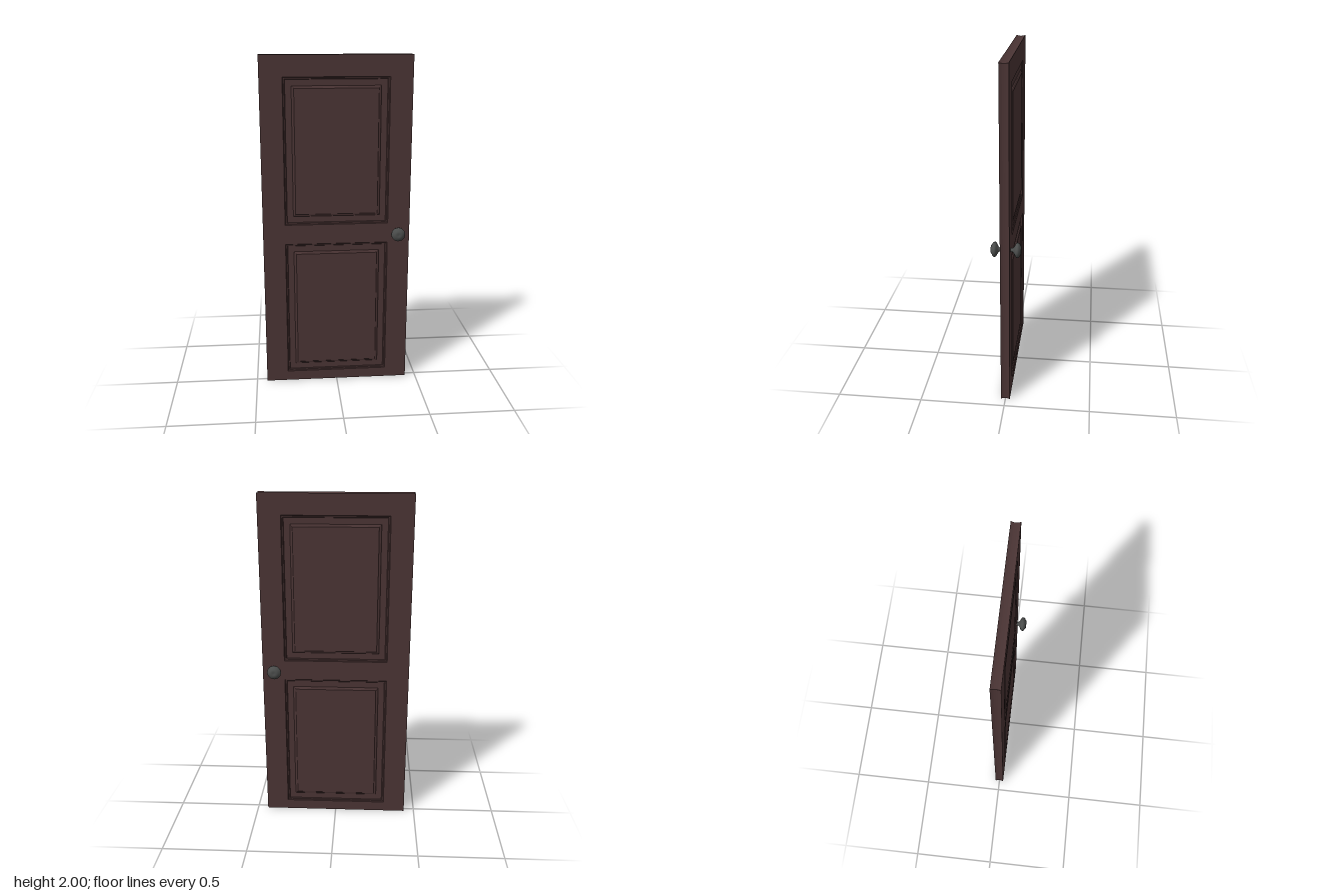
import * as THREE from 'three';

const HALF_W = 0.437, HEIGHT = 2, HALF_T = 0.026;
const wood = new THREE.MeshStandardMaterial({ color: 0x4a3434, flatShading: true });
const metal = new THREE.MeshStandardMaterial({ color: 0x4c4e4d });

// Recessed openings, symmetric in x: half width, bottom, top
const OPENINGS = [
  { w: 0.306, y0: 1.017, y1: 1.878 },
  { w: 0.306, y0: 0.061, y1: 0.898 },
];

// Corners of a rectangle, counter-clockwise seen from +z, shrunk by inset
function corners({ w, y0, y1 }, inset, z) {
  return [
    [-w + inset, y0 + inset, z], [w - inset, y0 + inset, z],
    [w - inset, y1 - inset, z], [-w + inset, y1 - inset, z],
  ];
}

// Joins rectangular loops given as [inset, z]; optionally caps the last one
function loft(rect, steps, cap) {
  const rings = steps.map(([inset, z]) => corners(rect, inset, z));
  const pos = [];
  const quad = (a, b, c, d) => pos.push(...a, ...b, ...c, ...a, ...c, ...d);
  for (let i = 0; i + 1 < rings.length; i++) {
    for (let k = 0; k < 4; k++) {
      const n = (k + 1) % 4;
      quad(rings[i][k], rings[i][n], rings[i + 1][n], rings[i + 1][k]);
    }
  }
  if (cap) quad(...rings[rings.length - 1]);
  const geo = new THREE.BufferGeometry();
  geo.setAttribute('position', new THREE.Float32BufferAttribute(pos, 3));
  geo.computeVertexNormals();
  return geo;
}

function add(parent, name, geometry, material) {
  const mesh = new THREE.Mesh(geometry, material);
  mesh.name = name;
  parent.add(mesh);
  return mesh;
}

// Half of the door slab, facing +z
function doorSide(name) {
  const side = new THREE.Group();
  side.name = name;
  const slab = { w: HALF_W, y0: 0, y1: HEIGHT };
  const points = (rect) => corners(rect, 0, 0).map(([x, y]) => new THREE.Vector2(x, y));

  // Stiles and rails around the two openings
  const frame = new THREE.Shape(points(slab));
  for (const o of OPENINGS) frame.holes.push(new THREE.Path(points(o).reverse()));
  add(side, 'stilesAndRails', new THREE.ShapeGeometry(frame).translate(0, 0, HALF_T), wood);

  // Slightly hollowed outer edge
  add(side, 'doorEdge', loft(slab, [[0.005, 0], [0.0045, 0.01], [0.0025, 0.019], [0, HALF_T]], false), wood);

  // Moulded recess with a raised field
  const profile = [
    [0, HALF_T], [0.004, HALF_T - 0.005], [0.011, HALF_T - 0.006], [0.014, HALF_T - 0.01],
    [0.05, HALF_T - 0.01], [0.054, HALF_T - 0.006], [0.061, HALF_T - 0.004], [0.064, HALF_T - 0.001],
  ];
  OPENINGS.forEach((o, i) => add(side, i ? 'lowerPanel' : 'upperPanel', loft(o, profile, true), wood));
  return side;
}

// Turned knob, from stem to face: radius, distance from the door's middle
function knob(name) {
  const profile = [
    [0.014, 0.02], [0.011, 0.03], [0.012, 0.038], [0.02, 0.045], [0.036, 0.053], [0.042, 0.059],
    [0.042, 0.067], [0.038, 0.074], [0.028, 0.079], [0.022, 0.084], [0.012, 0.085], [0, 0.083],
  ].map(([r, h]) => new THREE.Vector2(r, h));
  const group = new THREE.Group();
  group.name = name;
  add(group, 'knobBody', new THREE.LatheGeometry(profile, 12).rotateX(Math.PI / 2), metal);
  return group;
}

export function createModel() {
  const door = new THREE.Group();
  door.name = 'door';
  for (const back of [false, true]) {
    const side = doorSide(back ? 'doorBack' : 'doorFront');
    const handle = knob(back ? 'knobBack' : 'knobFront');
    side.rotation.y = handle.rotation.y = back ? Math.PI : 0;
    handle.position.set(0.365, 0.955, 0);
    door.add(side, handle);
  }
  return door;
}
